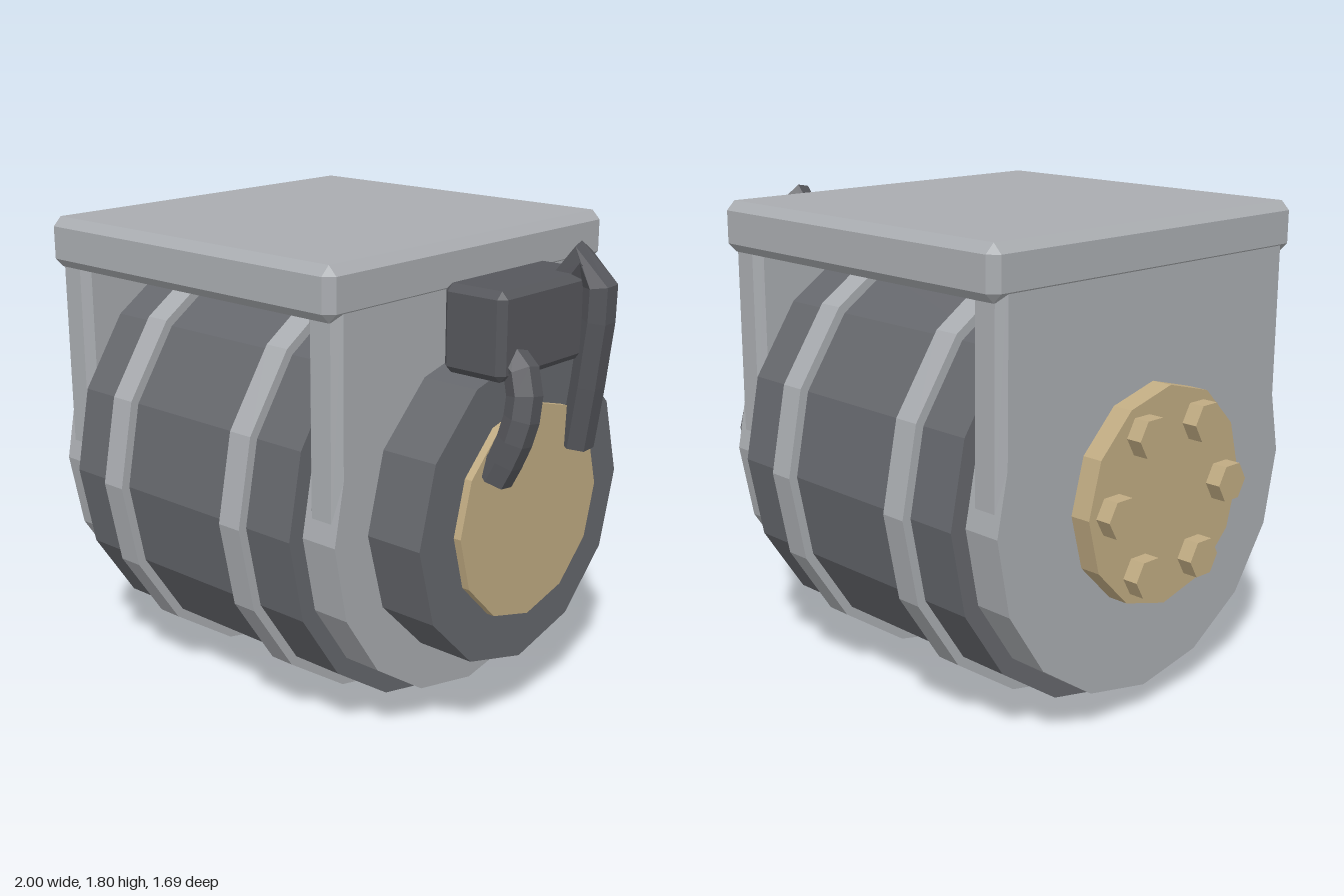
import * as THREE from 'three';
import { ConvexGeometry } from 'three/addons/geometries/ConvexGeometry.js';

const AXIS_Y = 0.845;

function material(name, color) {
  const m = new THREE.MeshStandardMaterial({ color, flatShading: true });
  m.name = name;
  return m;
}

export function createModel() {
  const group = new THREE.Group();
  const lightGrey = material('light grey metal', 0xa9acb0);
  const darkGrey = material('dark grey metal', 0x65676c);
  const charcoal = material('charcoal', 0x56575c);
  const brass = material('brass', 0xc0ab82);

  function add(name, geometry, mat) {
    const mesh = new THREE.Mesh(geometry, mat);
    mesh.name = name;
    group.add(mesh);
    return mesh;
  }

  // Cylinder lying along x, from x0 to x1
  function drum(name, x0, x1, radius, sides, mat, y = AXIS_Y, z = 0) {
    const g = new THREE.CylinderGeometry(radius, radius, x1 - x0, sides);
    g.rotateZ(Math.PI / 2);
    g.translate((x0 + x1) / 2, y, z);
    return add(name, g, mat);
  }

  // Box with every edge chamfered by c
  function chamferBox(name, min, max, c, mat) {
    const points = [];
    for (let corner = 0; corner < 8; corner++) {
      for (let full = 0; full < 3; full++) {
        const p = [0, 1, 2].map((axis) => {
          const inset = axis === full ? 0 : c;
          return corner & (1 << axis) ? max[axis] - inset : min[axis] + inset;
        });
        points.push(new THREE.Vector3(...p));
      }
    }
    return add(name, new ConvexGeometry(points), mat);
  }

  // Faceted cable with a closed lower end
  function cable(name, points, segments) {
    const curve = new THREE.CatmullRomCurve3(points.map((p) => new THREE.Vector3(...p)));
    add(name, new THREE.TubeGeometry(curve, segments, 0.062, 6), charcoal);
    [0, 1].forEach((t) => {
      const end = add(name + 'End', new THREE.CircleGeometry(0.06, 6), charcoal);
      const out = curve.getTangent(t).multiplyScalar(t ? 1 : -1);
      end.position.copy(curve.getPoint(t));
      end.quaternion.setFromUnitVectors(new THREE.Vector3(0, 0, 1), out);
    });
  }

  // Main drum and its two bands
  drum('drum', -0.71, 0.43, 0.81, 16, darkGrey);
  [-0.46, 0.17].forEach((x) => drum('band', x - 0.05, x + 0.05, 0.845, 16, lightGrey));

  // Bracket: round end discs, chamfered side plates, top plate
  [[-0.86, -0.71], [0.43, 0.58]].forEach(([x0, x1]) => {
    drum('endDisc', x0, x1, 0.745, 16, lightGrey);
    chamferBox('sidePlate', [x0, 0.82, -0.73], [x1, 1.795, 0.73], 0.03, lightGrey);
  });
  chamferBox('topPlate', [-0.865, 1.61, -0.77], [0.585, 1.8, 0.77], 0.034, lightGrey);

  // Motor housing and end cap
  drum('motorHousing', 0.58, 0.81, 0.58, 12, darkGrey);
  drum('motorCap', 0.81, 0.84, 0.4, 12, brass);

  // Bolted flange on the other end
  drum('flange', -0.94, -0.86, 0.4, 12, brass);
  for (let i = 0; i < 6; i++) {
    const a = (i * Math.PI) / 3;
    drum('bolt', -1, -0.94, 0.075, 6, brass, AXIS_Y + 0.29 * Math.sin(a), 0.29 * Math.cos(a));
  }

  // Junction box and cables
  chamferBox('junctionBox', [0.64, 1.375, -0.285], [0.9, 1.685, 0.28], 0.026, charcoal);
  cable('frontCable', [
    [0.86, 1.03, 0.245], [0.92, 1.17, 0.225], [0.94, 1.31, 0.2],
    [0.91, 1.41, 0.185], [0.85, 1.45, 0.175],
  ], 6);
  cable('rearCable', [
    [0.86, 1.04, -0.24], [0.92, 1.38, -0.22], [0.945, 1.66, -0.207],
    [0.9, 1.74, -0.2], [0.82, 1.64, -0.19],
  ], 7);

  return group;
}
